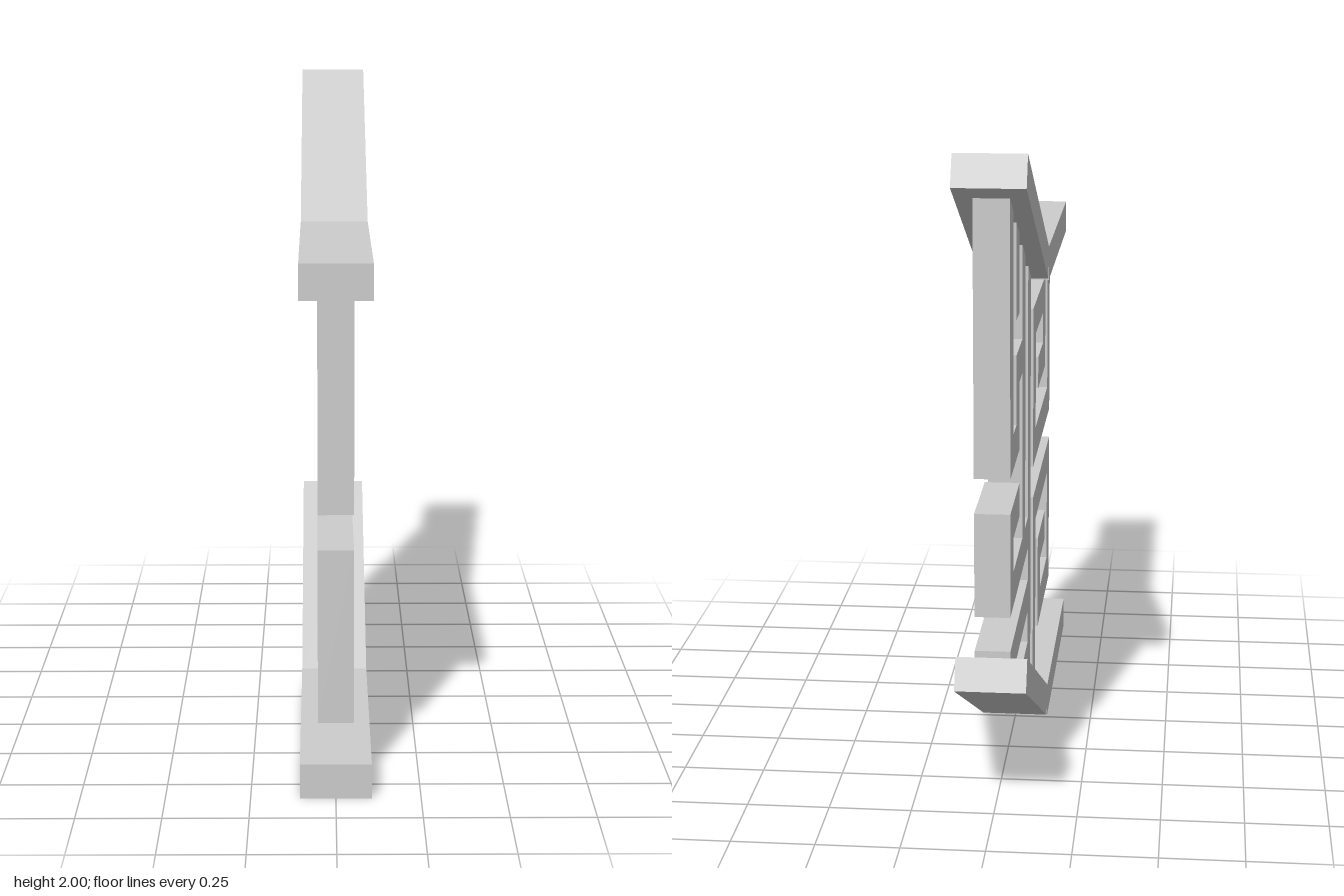
import * as THREE from 'three';

const STEP = 0.2105;          // lattice spacing
const HALF = STEP / 4;        // half a bar's thickness
const grey = new THREE.MeshStandardMaterial({ color: 0xcccccc });
grey.name = 'plain grey';

// Extrudes an outline of [backward, up] points across x, centred on x = 0.
function plate(name, outline, width) {
  const shape = new THREE.Shape(outline.map(([u, y]) => new THREE.Vector2(u, y)));
  const geometry = new THREE.ExtrudeGeometry(shape, { depth: width, bevelEnabled: false });
  geometry.translate(0, 0, -width / 2).rotateY(Math.PI / 2);
  const mesh = new THREE.Mesh(geometry, grey);
  mesh.name = name;
  return mesh;
}

// A square bar following a right-angled path on the lattice, with mitred corners.
function bar(name, path) {
  const p = path.map(([i, j]) => new THREE.Vector2(-0.753 + i * STEP, 0.267 + j * STEP));
  const dirs = p.slice(1).map((q, k) => q.clone().sub(p[k]).normalize());
  const left = [], right = [];
  p.forEach((q, k) => {
    const a = dirs[Math.max(k - 1, 0)], b = dirs[Math.min(k, dirs.length - 1)];
    const side = new THREE.Vector2(-a.y, a.x);
    if (k > 0 && k < p.length - 1) side.add(new THREE.Vector2(-b.y, b.x));
    const cap = k === 0 ? -1 : k === p.length - 1 ? 1 : 0;   // square ends
    const c = q.clone().addScaledVector(a, cap * HALF);
    left.push([c.x + side.x * HALF, c.y + side.y * HALF]);
    right.unshift([c.x - side.x * HALF, c.y - side.y * HALF]);
  });
  return plate(name, [...left, ...right], 2 * HALF);
}

export function createModel() {
  const model = new THREE.Group();
  model.name = 'latticeRailing';

  // Level front rails and rising back rails, bottom and top
  const level = [[-0.858, 0], [-0.013, 0], [-0.013, 0.1055], [-0.858, 0.1055]];
  const rising = [[0.008, 0.011], [0.855, 0.434], [0.81, 0.524], [-0.034, 0.1]];
  const raise = (outline, h) => outline.map(([u, y]) => [u, y + h]);
  model.add(
    plate('lowerLevelRail', level, STEP),
    plate('upperLevelRail', raise(level, 1.479), STEP),
    plate('lowerRisingRail', rising, STEP),
    plate('upperRisingRail', raise(rising, 1.476), STEP),
  );

  // Spirals of the front panel
  const front = new THREE.Group();
  front.name = 'frontPanel';
  front.add(
    bar('upperSpiral', [[0, 5.8], [0, 3], [3, 3], [3, 5], [1, 5], [1, 4], [2, 4]]),
    bar('lowerSpiral', [[3, -0.8], [3, 2], [0, 2], [0, 0], [2, 0], [2, 1], [1, 1]]),
  );

  // Key pattern of the back panel, ending inside the rising rails
  const back = new THREE.Group();
  back.name = 'backPanel';
  back.add(
    bar('mainPost', [[4, -0.5], [4, 5.97]]),
    bar('innerPost', [[5, 2.5], [5, 6.47]]),
    bar('hangingStub', [[6, 6], [6, 6.97]]),
    bar('upperKey', [[5.5, 5], [6, 5], [6, 4], [7, 4], [7, 7.47]]),
    bar('middleHook', [[4.5, 2], [7, 2], [7, 3], [6, 3]]),
    bar('longLowerBar', [[4.5, 1], [7, 1]]),
    bar('shortLowerBar', [[4.5, 0], [5, 0]]),
  );

  model.add(front, back);
  return model;
}
